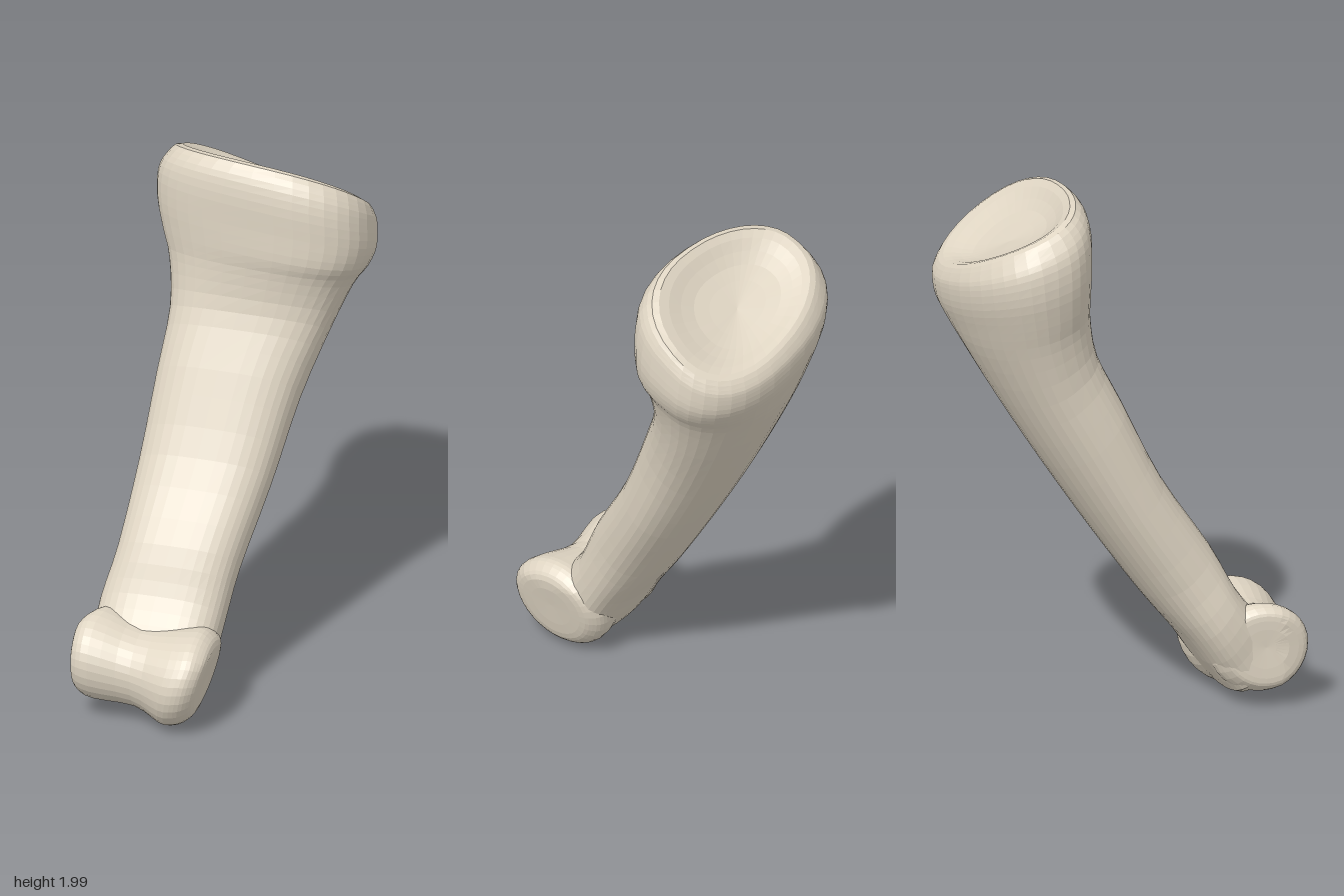
import * as THREE from 'three';

const material = new THREE.MeshStandardMaterial({ color: 0xdfd5c3, flatShading: true });

// Smoothly resample rows of section parameters
function resample(rows, steps) {
  const out = [];
  const at = i => rows[Math.min(Math.max(i, 0), rows.length - 1)];
  for (let i = 0; i < rows.length - 1; i++) {
    for (let s = 0; s < steps; s++) {
      const t = s / steps;
      out.push(rows[i].map((p1, k) => {
        const p0 = at(i - 1)[k], p2 = at(i + 1)[k], p3 = at(i + 2)[k];
        const m1 = (p2 - p0) / 2, m2 = (p3 - p1) / 2;
        return p1 + m1 * t + (3 * (p2 - p1) - 2 * m1 - m2) * t * t + (2 * (p1 - p2) + m1 + m2) * t ** 3;
      }));
    }
  }
  out.push(rows[rows.length - 1]);
  return out;
}

// Skin a surface over rings of points
function loft(name, sections, sides, pointAt) {
  const positions = [], index = [];
  sections.forEach((section, i) => {
    for (let j = 0; j < sides; j++) {
      positions.push(...pointAt(section, (j / sides) * Math.PI * 2));
      if (i === sections.length - 1) continue;
      const a = i * sides + j, b = i * sides + (j + 1) % sides;
      index.push(a, a + sides, b, b, a + sides, b + sides);
    }
  });
  const geometry = new THREE.BufferGeometry();
  geometry.setAttribute('position', new THREE.Float32BufferAttribute(positions, 3));
  geometry.setIndex(index);
  geometry.computeVertexNormals();
  const mesh = new THREE.Mesh(geometry, material);
  mesh.name = name;
  return mesh;
}

const power = (v, n) => Math.sign(v) * Math.abs(v) ** (2 / n);

// Tilted section: front y/z, back y/z, x min/max, side tilt, skew, front and back squareness
function shaftPoint([fy, fz, by, bz, x0, x1, tilt, skew, front, back], angle) {
  const n = Math.sin(angle) > 0 ? front : back;
  const c = power(Math.cos(angle), n), s = power(Math.sin(angle), n);
  const w = (s + 1) / 2;
  return [
    (x0 + x1) / 2 + c * (x1 - x0) / 2,
    by + (fy - by) * w - tilt * c * (1 - 0.6 * s),
    bz + (fz - bz) * w + skew * c * Math.max(s, 0),
  ];
}

// Round section across the knuckle with a flattened crown: x, centre y/z, radius.
// The left end leans with height, the right end tapers toward the back.
function condylePoint([x, cy, cz, r], angle) {
  const up = Math.cos(angle);
  const y = cy + r * up * (up > 0 ? 0.87 : 1), z = cz - r * Math.sin(angle);
  const lean = THREE.MathUtils.smoothstep(x, -0.25, 0.05) * Math.min(0, y - 0.3) * 0.25;
  const taper = THREE.MathUtils.smoothstep(-x, 0.2, 0.44) * Math.max(0, 0.5 - z) * 0.25;
  return [x + lean + taper, y, z];
}

export function createModel() {
  const group = new THREE.Group();
  group.name = 'fingerBone';

  // Lower shaft
  const shaft = [
    [0.16, 0.46, 0.16, 0.46, -0.19, -0.19, 0, 0, 2.6, 2.8],
    [0.20, 0.52, 0.035, 0.365, -0.38, -0.005, 0, 0, 2.6, 2.8],
    [0.32, 0.46, 0.12, 0.28, -0.405, 0.045, 0, 0, 2.8, 2.8],
    [0.45, 0.365, 0.25, 0.19, -0.405, 0.065, 0, 0, 2.8, 2.5],
    [0.62, 0.28, 0.42, 0.055, -0.37, 0.09, 0, 0, 2.8, 2.1],
    [0.90, 0.10, 0.68, -0.125, -0.345, 0.155, 0, 0, 2.8, 2],
    [1.20, -0.04, 0.95, -0.30, -0.325, 0.215, 0, 0, 2.8, 2],
    [1.40, -0.13, 1.20, -0.45, -0.31, 0.29, 0, 0, 2.7, 2],
  ];
  // Flaring head, rim and shallow joint face
  const head = [
    [1.55, -0.14, 1.40, -0.56, -0.33, 0.36, 0.01, 0.02, 2.6, 2],
    [1.64, -0.13, 1.50, -0.605, -0.36, 0.41, 0.03, 0.04, 2.6, 2.1],
    [1.75, -0.13, 1.58, -0.635, -0.385, 0.435, 0.05, 0.04, 2.6, 2.2],
    [1.87, -0.13, 1.65, -0.645, -0.385, 0.435, 0.06, 0.04, 2.5, 2.3],
    [1.95, -0.15, 1.69, -0.638, -0.355, 0.425, 0.065, 0.03, 2.4, 2.3],
    [1.985, -0.20, 1.735, -0.605, -0.30, 0.385, 0.065, 0.02, 2.2, 2.2],
    [1.89, -0.28, 1.75, -0.52, -0.17, 0.22, 0.04, 0.01, 2.2, 2.2],
    [1.80, -0.40, 1.80, -0.40, 0.03, 0.03, 0, 0, 2.2, 2.2],
  ];
  group.add(loft('shaftAndHead', resample([...shaft, ...head], 3), 36, shaftPoint));

  // Saddle-shaped knuckle with flattened ends
  const condyle = [
    [-0.43, 0.24, 0.435, 0],
    [-0.435, 0.24, 0.435, 0.12],
    [-0.42, 0.24, 0.435, 0.16],
    [-0.36, 0.235, 0.43, 0.182],
    [-0.20, 0.205, 0.435, 0.16],
    [-0.05, 0.195, 0.45, 0.193],
    [0.02, 0.20, 0.45, 0.198],
    [0.06, 0.20, 0.45, 0.175],
    [0.08, 0.20, 0.45, 0.13],
    [0.08, 0.20, 0.45, 0],
  ];
  group.add(loft('knuckle', resample(condyle, 3), 32, condylePoint));

  return group;
}
